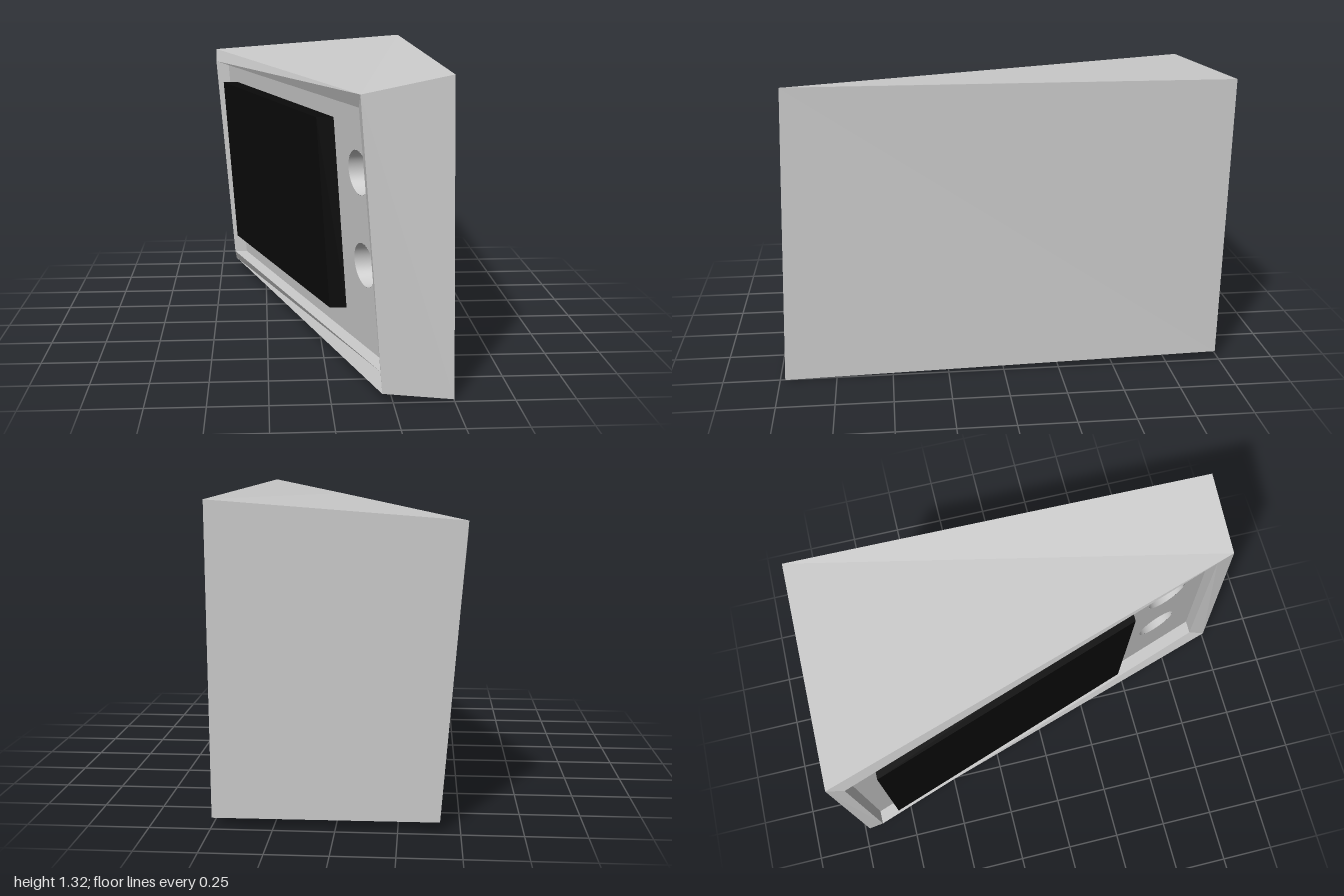
import * as THREE from 'three';

const grey = new THREE.MeshStandardMaterial({ color: 0xcccccc, flatShading: true });
const greySmooth = new THREE.MeshStandardMaterial({ color: 0xcccccc, side: THREE.DoubleSide });
const black = new THREE.MeshStandardMaterial({ color: 0x0a0a0a, flatShading: true });

const RECESS = 0.065;     // depth of the recess along x
const HOLE_R = 0.095;
const HOLE_DEPTH = 0.12;

// Slanted plane of the opening on the left-hand face: x for a given y and z
const planeX = (y, z) => -0.1035 + 0.347 * z - 0.071 * y;
const onPlane = (y, z, inset = 0) => [planeX(y, z) + inset, y, z];

// Four-cornered faces, corners counter-clockwise from outside
function quads(faces) {
  const pos = [];
  for (const [a, b, c, d] of faces) pos.push(...a, ...b, ...c, ...a, ...c, ...d);
  const geo = new THREE.BufferGeometry();
  geo.setAttribute('position', new THREE.Float32BufferAttribute(pos, 3));
  geo.computeVertexNormals();
  return geo;
}

// Faces joining two rings of four corners
const bridge = (a, b) => a.map((p, i) => {
  const j = (i + 1) % a.length;
  return [p, a[j], b[j], b[i]];
});

// Lays a flat shape, drawn as (z, y), onto the slanted plane
function drape(shape, inset) {
  const geo = new THREE.ShapeGeometry(shape, 32);
  const p = geo.attributes.position;
  for (let i = 0; i < p.count; i++) {
    const z = p.getX(i), y = p.getY(i);
    p.setXYZ(i, ...onPlane(y, z, inset));
  }
  geo.computeVertexNormals();
  return geo;
}

function circle(kind, z, y) {
  const c = new kind();
  c.absarc(z, y, HOLE_R, 0, Math.PI * 2, false);
  return c;
}

export function createModel() {
  const group = new THREE.Group();
  const add = (name, geo, mat) => {
    const mesh = new THREE.Mesh(geo, mat);
    mesh.name = name;
    group.add(mesh);
  };

  // Tilted wedge housing: top and bottom corners, back right first, then round by the left
  const [t0, t1, t2, t3] = [[0.5, 1.315, -0.995], [-0.51, 1.24, -1], [0.113, 1.24, 0.93], [0.478, 1.315, 0.93]];
  const [b0, b1, b2, b3] = [[0.498, 0.04, -0.98], [-0.418, 0.04, -0.975], [0.205, 0.04, 1], [0.503, 0, 0.978]];
  add('housing', quads([
    [t0, t1, t2, t3], [b3, b2, b1, b0],
    [t2, b2, b3, t3], [t3, b3, b0, t0], [t0, b0, b1, t1],
  ]), grey);

  // Rim around the opening and the walls of the recess
  const opening = [[1.18, -0.93], [0.1, -0.9], [0.1, 0.915], [1.18, 0.865]];
  const lip = opening.map(([y, z]) => onPlane(y, z));
  const foot = opening.map(([y, z]) => onPlane(y, z, RECESS));
  add('rim', quads(bridge([t1, b1, b2, t2], lip)), grey);
  add('recessWalls', quads(bridge(lip, foot)), grey);

  // Recess floor with two round holes
  const holes = [[0.67, 0.88], [0.67, 0.48]];
  const floor = new THREE.Shape(opening.map(([y, z]) => new THREE.Vector2(z, y)));
  for (const [z, y] of holes) floor.holes.push(circle(THREE.Path, z, y));
  add('recessFloor', drape(floor, RECESS), grey);

  for (const [cz, cy] of holes) {
    const tube = new THREE.CylinderGeometry(HOLE_R, HOLE_R, 1, 32, 1, true);
    const p = tube.attributes.position;
    for (let i = 0; i < p.count; i++) {
      const y = cy + p.getZ(i), z = cz + p.getX(i);
      p.setXYZ(i, ...onPlane(y, z, RECESS + HOLE_DEPTH * (p.getY(i) + 0.5)));
    }
    tube.computeVertexNormals();
    add('holeWall', tube, greySmooth);
    add('holeBottom', drape(circle(THREE.Shape, cz, cy), RECESS + HOLE_DEPTH), grey);
  }

  // Black slab seated on the recess floor
  const slab = [[1.08, -0.8], [0.22, -0.8], [0.22, 0.455], [1.08, 0.455]];
  const outer = slab.map(([y, z]) => onPlane(y, z, -0.01));
  const inner = slab.map(([y, z]) => onPlane(y, z, RECESS));
  add('panel', quads([outer, ...bridge(inner, outer)]), black);

  return group;
}
